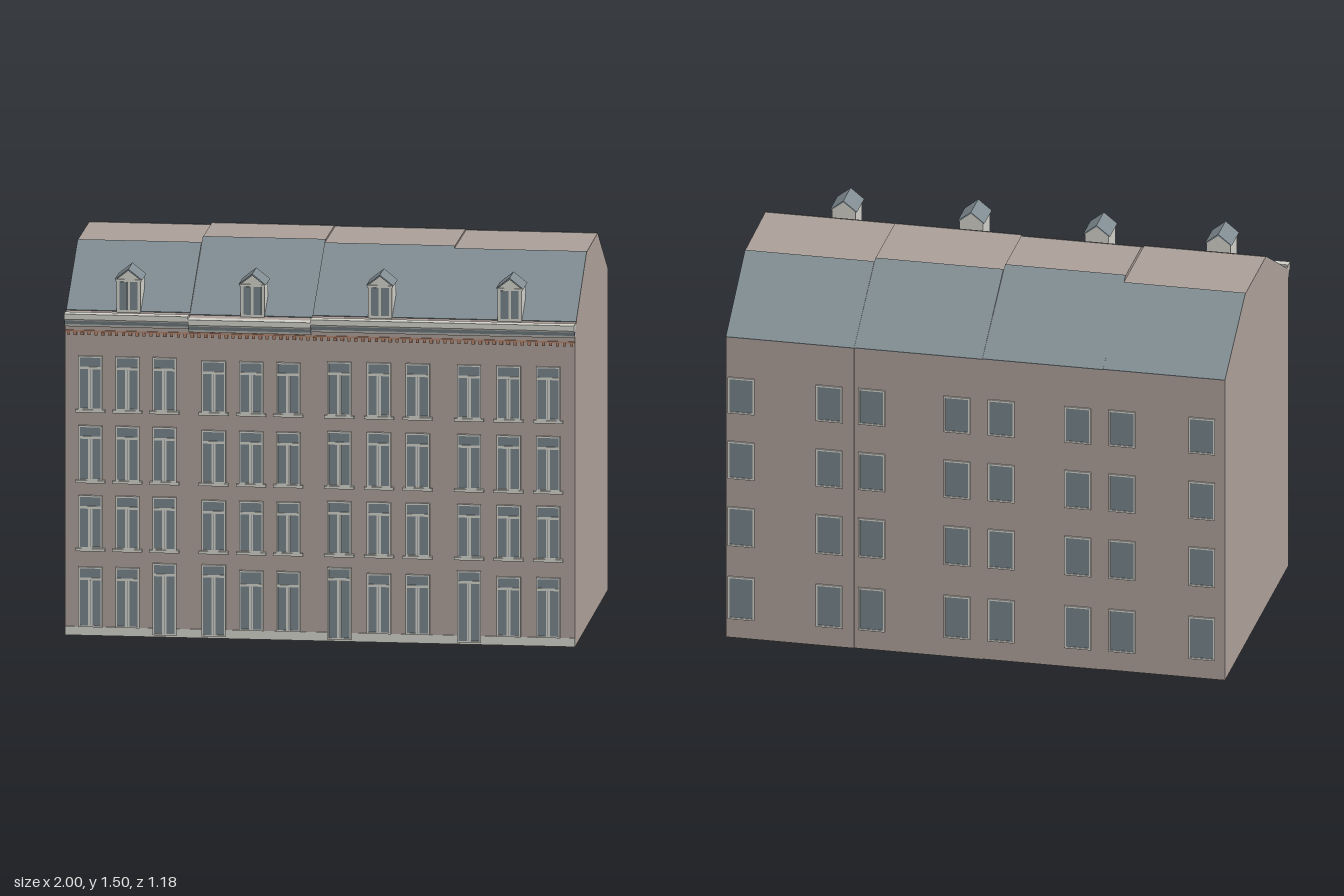
import * as THREE from 'three';

const mat = (name, color, side = THREE.FrontSide) => {
  const m = new THREE.MeshStandardMaterial({ color, side });
  m.name = name;
  return m;
};

export function createModel() {
  const wall = mat('taupe wall', 0xab9e97);
  const slate = mat('slate roof', 0x808c92);
  const glass = mat('window glass', 0x748187);
  const trim = mat('pale stone trim', 0xcfcec7);
  const brick = mat('orange brick', 0xb08068);
  const root = new THREE.Group();
  root.name = 'terraceBuilding';
  const FRONT = 0.56;

  const add = (parent, name, geometry, material) => {
    const m = new THREE.Mesh(geometry, material);
    m.name = name;
    parent.add(m);
    return m;
  };
  const group = (name, parent = root) => {
    const g = new THREE.Group();
    g.name = name;
    parent.add(g);
    return g;
  };
  // box given by its limits
  const box = (parent, name, material, x0, x1, y0, y1, z0, z1) => add(parent, name,
    new THREE.BoxGeometry(x1 - x0, y1 - y0, z1 - z0)
      .translate((x0 + x1) / 2, (y0 + y1) / 2, (z0 + z1) / 2), material);
  const poly = pts => new THREE.Shape(pts.map(p => new THREE.Vector2(...p)));
  // prism along x from a [z, y] profile
  const prism = (pts, x0, x1) =>
    new THREE.ExtrudeGeometry(poly(pts), { depth: x1 - x0, bevelEnabled: false })
      .rotateY(-Math.PI / 2).translate(x1, 0, 0);
  const rect = (x0, x1, y0, y1) => [[x0, y0], [x1, y0], [x1, y1], [x0, y1]];
  // flat panel with rectangular openings
  const framePanel = (x0, x1, y0, y1, holes, depth) => {
    const s = poly(rect(x0, x1, y0, y1));
    for (const h of holes) s.holes.push(new THREE.Path(rect(...h).reverse().map(p => new THREE.Vector2(...p))));
    return new THREE.ExtrudeGeometry(s, { depth, bevelEnabled: false });
  };

  // four houses: x range, flat-top z range, ridge height, back wall, cornice drop
  const houses = [
    { x0: -1, x1: -0.515, zf: 0.155, zb: -0.21, top: 1.488, back: -0.577, drop: 0 },
    { x0: -0.515, x1: -0.035, zf: 0.11, zb: -0.175, top: 1.503, back: -0.58, drop: 0.012 },
    { x0: -0.035, x1: 0.475, zf: 0.14, zb: -0.205, top: 1.495, back: -0.584, drop: 0 },
    { x0: 0.475, x1: 0.998, zf: 0.155, zb: -0.225, top: 1.488, back: -0.587, drop: 0 },
  ];
  houses.forEach((h, i) => {
    const g = group('house' + (i + 1));
    // the last end wall runs slightly askew
    const skew = geo => {
      if (i < 3) return geo;
      const p = geo.attributes.position;
      for (let k = 0; k < p.count; k++)
        if (p.getX(k) > 0.9) p.setX(k, p.getX(k) - 0.012 * (FRONT - p.getZ(k)) / 1.147);
      geo.computeVertexNormals();
      return geo;
    };
    const eave = 1.278 - h.drop * 0.6;
    const t = 0.003;
    add(g, 'wallBody', skew(prism([[h.back, 0], [FRONT, 0], [FRONT, eave - 0.006], [0.52, eave],
      [h.zf, h.top - t], [h.zb, h.top - t], [h.back, 1.272]], h.x0, h.x1)), wall);
    add(g, 'frontRoofSlope', skew(prism([[0.52, eave], [0.522, eave + t], [h.zf, h.top], [h.zf, h.top - t]], h.x0, h.x1)), slate);
    add(g, 'backRoofSlope', skew(prism([[h.back, 1.272], [h.zb, h.top - t], [h.zb, h.top], [h.back - 0.001, 1.275]], h.x0, h.x1)), slate);

    // cornice with a dark gutter band below
    const d = h.drop;
    add(g, 'cornice', prism([[0.555, 1.252 - d], [0.582, 1.248 - d], [0.592, 1.256 - d],
      [0.592, 1.277 - d], [0.555, 1.279 - d]], h.x0, h.x1), trim);
    add(g, 'corniceBand', prism([[0.555, 1.235 - d], [0.578, 1.235 - d], [0.584, 1.25 - d], [0.555, 1.252 - d]], h.x0, h.x1), slate);
    add(g, 'corniceMoulding', prism([[0.555, 1.224 - d], [0.568, 1.224 - d], [0.574, 1.236 - d], [0.555, 1.236 - d]], h.x0, h.x1), trim);
    // brick course and teeth
    box(g, 'brickCourse', brick, h.x0, h.x1, 1.203, 1.209, 0.555, 0.565);
    const n = Math.round((h.x1 - h.x0) / 0.027);
    for (let k = 0; k < n; k++) {
      const x = h.x0 + (k + 0.5) * (h.x1 - h.x0) / n;
      box(g, 'brickTooth', brick, x - 0.006, x + 0.006, 1.19, 1.203, 0.555, 0.566);
    }
  });

  // plinth
  box(root, 'plinth', trim, -1, 0.998, 0, 0.034, 0.55, 0.565);

  // front windows and doors
  const frontOpening = (name, x, y0, y1, transom, sill) => {
    const g = group(name);
    const w = 0.047, b = 0.006, m = 0.008;
    add(g, 'frame', framePanel(x - w, x + w, y0, y1, [
      [x - w + b, x - m, y0 + b, y1 - transom],
      [x + m, x + w - b, y0 + b, y1 - transom],
      [x - w + b, x + w - b, y1 - transom + 0.01, y1 - b],
    ], 0.014).translate(0, 0, 0.557), trim);
    box(g, 'mullionGroove', glass, x - 0.001, x + 0.001, y0 + b, y1 - transom, 0.57, 0.5715);
    box(g, 'glass', glass, x - w + 0.002, x + w - 0.002, y0 + 0.002, y1 - 0.002, 0.558, 0.567);
    if (sill) box(g, 'sill', trim, x - 0.058, x + 0.058, y0 - 0.01, y0 + 0.001, 0.555, 0.576);
  };
  const columns = [
    [-0.9, -0.755, -0.61], [-0.417, -0.27, -0.125],
    [0.075, 0.23, 0.382], [0.583, 0.738, 0.893],
  ];
  const doorColumn = [2, 0, 0, 0];
  columns.forEach((xs, hi) => xs.forEach((x, ci) => {
    const low = hi === 1 ? 0.008 : 0;
    for (const [y0, y1] of [[0.345, 0.555], [0.615, 0.832], [0.895, 1.108]])
      frontOpening('frontWindow', x, y0, y1 - low, 0.052, true);
    if (ci === doorColumn[hi]) frontOpening('frontDoor', x, 0.008, 0.292, 0.05, false);
    else frontOpening('groundWindow', x, 0.034, 0.272, hi === 1 ? 0.062 : 0.052, false);
  }));

  // back windows
  const backColumns = [0.924, 0.574, 0.406, 0.066, -0.11, -0.414, -0.59, -0.908];
  const backRows = [[0.08, 0.26], [0.39, 0.555], [0.675, 0.834], [0.953, 1.105]];
  for (const x of backColumns) {
    const z = houses.find(h => x < h.x1).back;
    for (const [y0, y1] of backRows) {
      const g = group('backWindow');
      const w = 0.053, b = 0.007;
      add(g, 'frame', framePanel(x - w, x + w, y0, y1,
        [[x - w + b, x + w - b, y0 + b, y1 - b]], 0.012).translate(0, 0, z - 0.006), trim);
      box(g, 'glass', glass, x - w + 0.003, x + w - 0.003, y0 + 0.003, y1 - 0.003, z - 0.003, z + 0.004);
    }
  }

  // dormers
  columns.forEach((xs, i) => {
    const g = group('dormer');
    g.position.set(xs[1], i === 1 ? -0.008 : 0, 0);
    const body = poly([[-0.047, 1.275], [0.047, 1.275], [0.047, 1.408], [0, 1.445], [-0.047, 1.408]]);
    add(g, 'dormerBody', new THREE.ExtrudeGeometry(body, { depth: 0.122, bevelEnabled: false })
      .translate(0, 0, 0.408), trim);
    const roof = poly([[-0.054, 1.407], [-0.047, 1.407], [0, 1.443], [0.047, 1.407],
      [0.054, 1.407], [0, 1.45]]);
    add(g, 'dormerRoof', new THREE.ExtrudeGeometry(roof, { depth: 0.132, bevelEnabled: false })
      .translate(0, 0, 0.404), slate);
    for (const s of [-1, 1])
      box(g, 'dormerPane', glass, s * 0.02 - 0.015, s * 0.02 + 0.015, 1.287, 1.398, 0.526, 0.5315);
    box(g, 'dormerLintel', trim, -0.05, 0.05, 1.4, 1.408, 0.526, 0.535);
  });

  return root;
}
